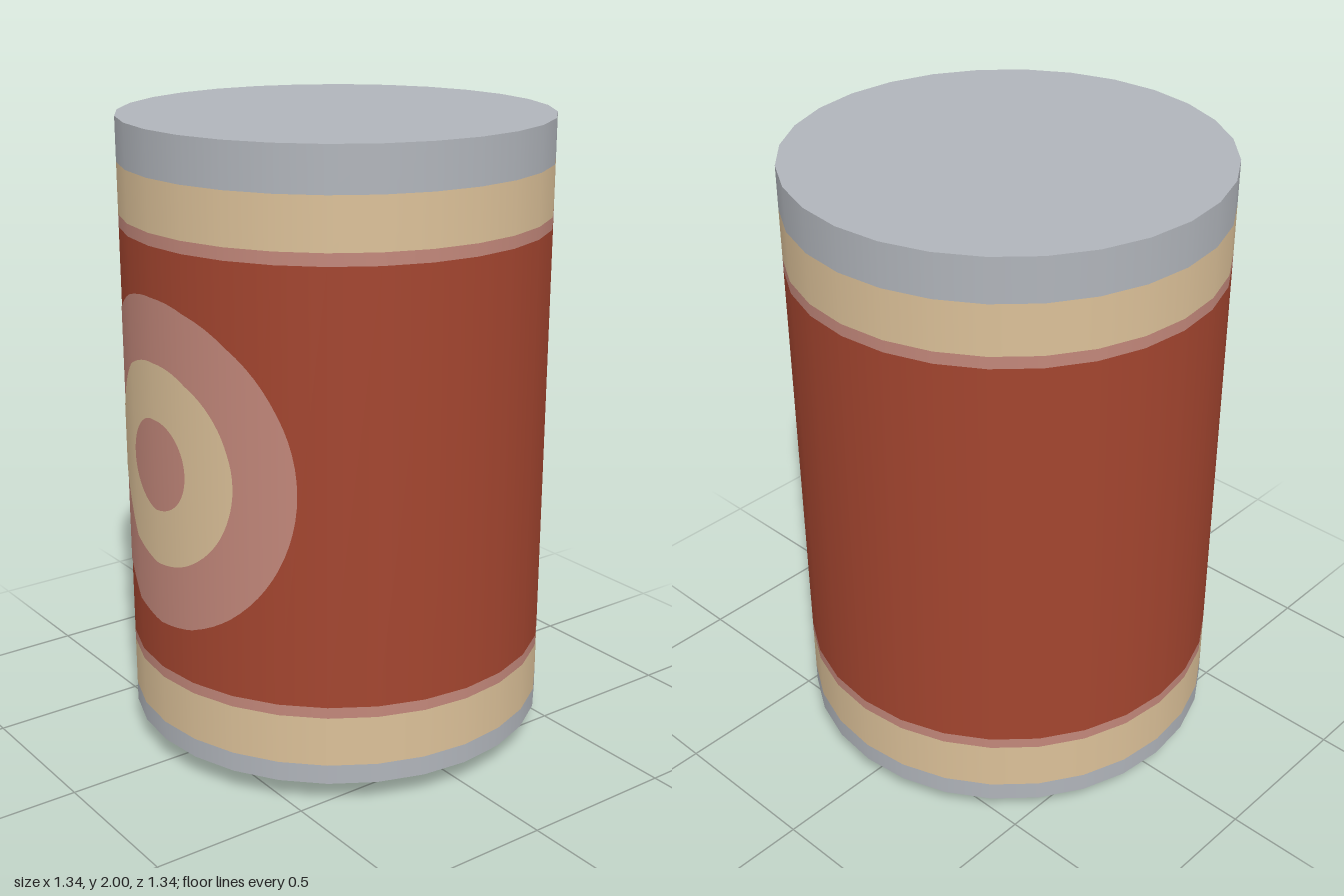
import * as THREE from 'three';

const R = 0.67, SIDES = 28, STEP = (Math.PI * 2) / SIDES;

// Point on the faceted wall at arc length u from the front centre
function wallPoint(u, y, lift) {
  const k = u / R / STEP, i = Math.floor(k), f = k - i;
  const a = i * STEP, b = a + STEP, r = R + lift;
  return [
    r * (Math.sin(a) * (1 - f) + Math.sin(b) * f),
    y,
    r * (Math.cos(a) * (1 - f) + Math.cos(b) * f),
  ];
}

// Round patch wrapped on the wall, built from vertical slices that include the facet edges
function wrappedDisc(radius, cy, lift) {
  const us = [];
  for (let i = 0; i <= 40; i++) us.push(-radius * Math.cos((Math.PI * i) / 40));
  for (let i = -6; i <= 6; i++) if (Math.abs(i * STEP * R) < radius) us.push(i * STEP * R);
  us.sort((a, b) => a - b);
  const pos = [], nor = [], idx = [];
  us.forEach((u, i) => {
    const h = Math.sqrt(Math.max(0, radius * radius - u * u));
    for (const y of [cy - h, cy + h]) {
      pos.push(...wallPoint(u, y, lift));
      nor.push(Math.sin(u / R), 0, Math.cos(u / R));
    }
    if (i) {
      const p = 2 * i - 2;
      idx.push(p, p + 2, p + 3, p, p + 3, p + 1);
    }
  });
  const g = new THREE.BufferGeometry();
  g.setAttribute('position', new THREE.Float32BufferAttribute(pos, 3));
  g.setAttribute('normal', new THREE.Float32BufferAttribute(nor, 3));
  g.setIndex(idx);
  return g;
}

export function createModel() {
  const group = new THREE.Group();
  const material = (name, color) => {
    const m = new THREE.MeshStandardMaterial({ color });
    m.name = name;
    return m;
  };
  const metal = material('grey metal', 0xb0b4ba);
  const cream = material('cream', 0xdbc098);
  const pink = material('dusty pink', 0xc2877a);
  const red = material('brick red', 0xa3452f);

  const add = (name, geometry, mat) => {
    const mesh = new THREE.Mesh(geometry, mat);
    mesh.name = name;
    group.add(mesh);
    return mesh;
  };

  // Stacked wall bands
  const bands = [
    ['lowerRim', 0.075, 0.137, metal],
    ['lowerCreamBand', 0.137, 0.295, cream],
    ['lowerPinkStripe', 0.295, 0.33, pink],
    ['redLabel', 0.33, 1.667, red],
    ['upperPinkStripe', 1.667, 1.705, pink],
    ['upperCreamBand', 1.705, 1.863, cream],
    ['upperRim', 1.863, 2, metal],
  ];
  for (const [name, y0, y1, mat] of bands) {
    const g = new THREE.CylinderGeometry(R, R, y1 - y0, SIDES, 1, true);
    add(name, g.translate(0, (y0 + y1) / 2, 0), mat);
  }

  // Flat lid
  const lid = new THREE.CircleGeometry(R, SIDES).rotateX(-Math.PI / 2);
  add('lid', lid.translate(0, 2, 0), metal);

  // Base with a softly shaded bevel
  const profile = [[0, 0], [0.54, 0], [R, 0.075]].map(([x, y]) => new THREE.Vector2(x, y));
  add('base', new THREE.LatheGeometry(profile, SIDES), metal);

  // Concentric rings on the front of the label
  add('outerRing', wrappedDisc(0.515, 1, 0.0015), pink);
  add('middleRing', wrappedDisc(0.318, 1, 0.003), cream);
  add('centreDot', wrappedDisc(0.143, 1, 0.0045), pink);

  return group;
}
